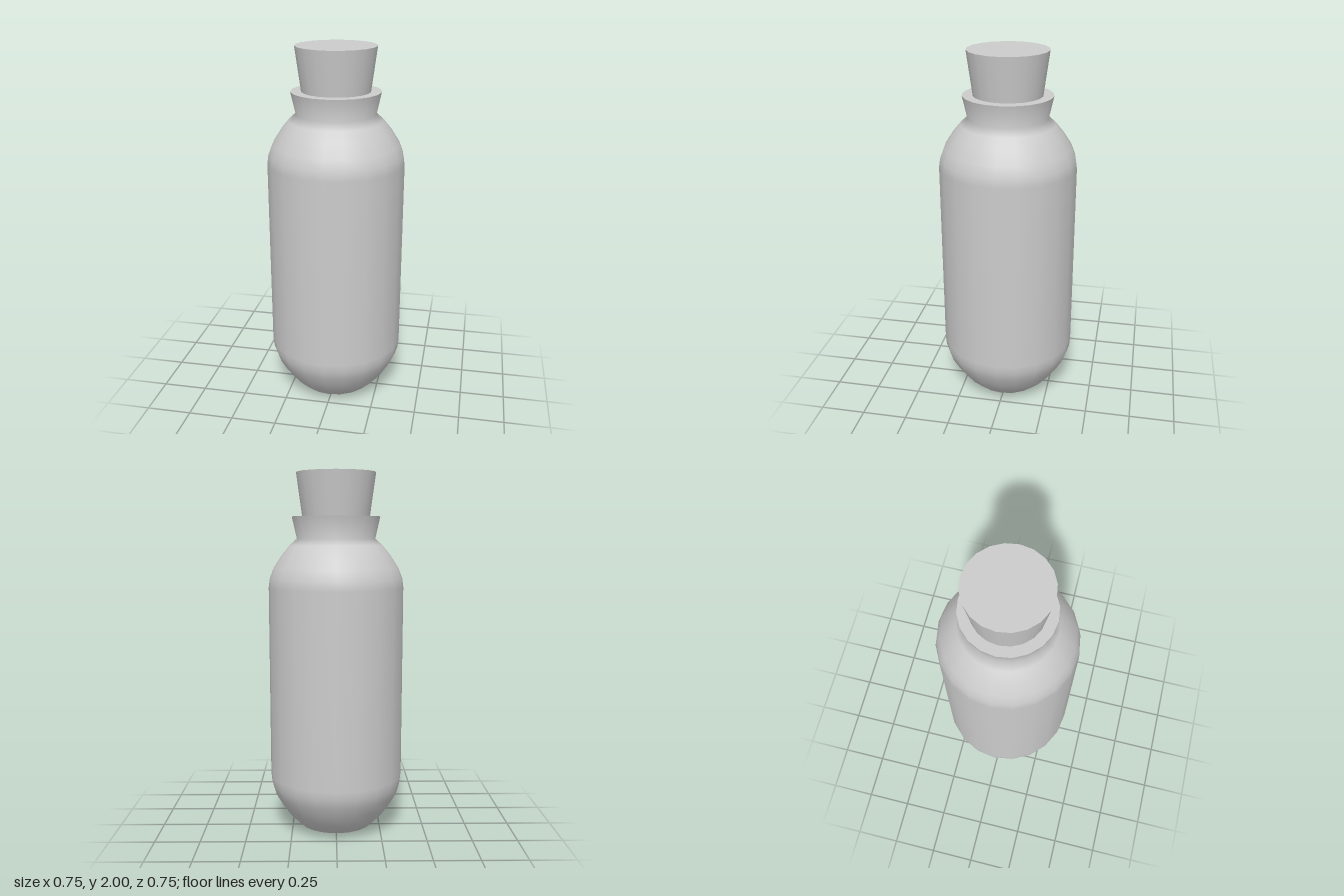
import * as THREE from 'three';

const SIDES = 20;

export function createModel() {
  const group = new THREE.Group();
  const material = new THREE.MeshStandardMaterial({ color: 0xcccccc, side: THREE.DoubleSide });

  // Turns a profile of [radius, height] pairs into a smooth round part
  const turn = (name, profile) => {
    const points = profile.map(([r, y]) => new THREE.Vector2(r, y));
    const mesh = new THREE.Mesh(new THREE.LatheGeometry(points, SIDES), material);
    mesh.name = name;
    group.add(mesh);
  };

  // Bottle wall: rounded base, straight sides, shoulder and flared neck
  turn('bottleBody', [
    [0, 0], [0.11, 0], [0.16, 0.01], [0.21, 0.03], [0.27, 0.09], [0.315, 0.155],
    [0.352, 0.22], [0.368, 0.27], [0.373, 0.32], [0.373, 1.38], [0.366, 1.43],
    [0.345, 1.485], [0.3, 1.555], [0.255, 1.61], [0.215, 1.645], [0.242, 1.765],
  ]);

  // Flat lip and the inside of the neck
  turn('bottleLip', [[0.242, 1.765], [0.186, 1.765]]);
  turn('neckInside', [[0.186, 1.765], [0.172, 1.65]]);

  // Tapered stopper pushed into the neck
  const stopper = new THREE.Mesh(new THREE.CylinderGeometry(0.217, 0.168, 0.36, SIDES), material);
  stopper.name = 'stopper';
  stopper.position.y = 1.82;
  group.add(stopper);

  return group;
}
